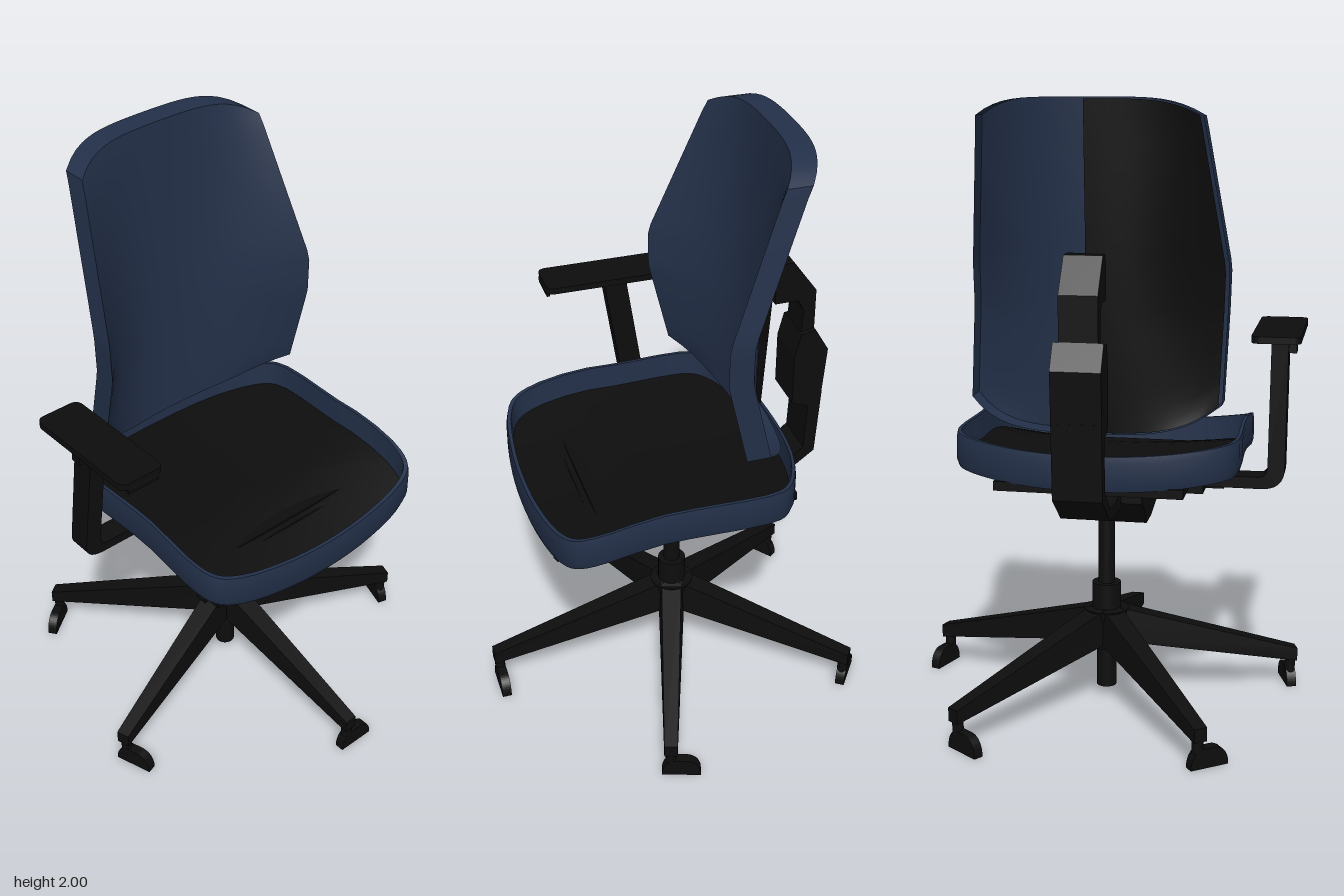
import * as THREE from 'three';
import { toCreasedNormals } from 'three/addons/utils/BufferGeometryUtils.js';

const fabric = new THREE.MeshStandardMaterial({ color: 0x233049, side: THREE.DoubleSide });
fabric.name = 'navy fabric';
const plastic = new THREE.MeshStandardMaterial({ color: 0x0d0d0d, side: THREE.DoubleSide });
plastic.name = 'black plastic';

const CX = -0.01, CZ = -0.035; // column axis

function add(parent, name, geo, mat, x = 0, y = 0, z = 0) {
  const m = new THREE.Mesh(geo, mat);
  m.name = name;
  m.position.set(x, y, z);
  parent.add(m);
  return m;
}

// Grid surface from a rule f(u, v) -> [x, y, z], with u and v in 0..1
function surface(f, nu, nv) {
  const pos = [], idx = [];
  for (let j = 0; j <= nv; j++)
    for (let i = 0; i <= nu; i++) pos.push(...f(i / nu, j / nv));
  for (let j = 0; j < nv; j++)
    for (let i = 0; i < nu; i++) {
      const a = j * (nu + 1) + i, b = a + nu + 1;
      idx.push(a, a + 1, b + 1, a, b + 1, b);
    }
  const g = new THREE.BufferGeometry();
  g.setAttribute('position', new THREE.Float32BufferAttribute(pos, 3));
  g.setIndex(idx);
  return toCreasedNormals(g, 0.6);
}

// Extrude a [z, y] side profile to a width across x
function sideExtrude(profile, width) {
  const s = new THREE.Shape(profile.map(p => new THREE.Vector2(...p)));
  const g = new THREE.ExtrudeGeometry(s, { depth: width, bevelEnabled: false });
  return g.translate(0, 0, -width / 2).rotateY(-Math.PI / 2);
}

// Linear interpolation through [key, value] pairs
function lookup(table, k) {
  for (let i = 1; i < table.length; i++) {
    const [a, va] = table[i - 1], [b, vb] = table[i];
    if (k <= b) return va + (vb - va) * Math.max(0, (k - a) / (b - a));
  }
  return table[table.length - 1][1];
}

function buildBase(root) {
  const base = new THREE.Group();
  base.name = 'starBase';
  base.position.set(CX, 0, CZ);
  root.add(base);
  const tube = (name, r0, r1, y0, y1) =>
    add(base, name, new THREE.CylinderGeometry(r1, r0, y1 - y0, 24), plastic, 0, (y0 + y1) / 2, 0);
  tube('columnFoot', 0.033, 0.033, 0.035, 0.2);
  tube('hub', 0.045, 0.075, 0.17, 0.31);
  tube('columnSleeve', 0.048, 0.048, 0.2, 0.4);
  tube('gasLift', 0.028, 0.028, 0.38, 0.68);

  // Dome-shaped foot, set crosswise at the leg tip
  const dome = new THREE.Shape();
  dome.moveTo(-0.03, 0);
  dome.lineTo(0.1, 0);
  dome.bezierCurveTo(0.1, 0.045, 0.075, 0.064, 0.05, 0.064);
  dome.lineTo(0.01, 0.064);
  dome.bezierCurveTo(-0.01, 0.062, -0.03, 0.04, -0.03, 0);

  for (let i = 0; i < 5; i++) {
    const arm = new THREE.Group();
    arm.name = 'leg' + (i + 1);
    arm.rotation.y = i * Math.PI * 2 / 5;
    base.add(arm);
    // Tapering spoke
    const g = new THREE.BoxGeometry(1, 1, 1);
    const p = g.attributes.position;
    for (let k = 0; k < p.count; k++) {
      const t = p.getZ(k) + 0.5, top = p.getY(k) > 0;
      const w = (top ? 0.07 : 0.09) * (1 - t) + 0.044 * t;
      p.setXYZ(k, p.getX(k) * w, top ? 0.315 - 0.18 * t : 0.2 - 0.11 * t, 0.04 + 0.62 * t);
    }
    g.computeVertexNormals();
    add(arm, 'spoke', g, plastic);
    add(arm, 'casterStem', new THREE.CylinderGeometry(0.018, 0.018, 0.07, 12), plastic, 0, 0.075, 0.64);
    const foot = new THREE.ExtrudeGeometry(dome, { depth: 0.032, bevelEnabled: false });
    add(arm, 'caster', foot, plastic, 0, 0, 0.624);
  }
}

function buildSeat(root) {
  const seat = new THREE.Group();
  seat.name = 'seat';
  seat.position.x = CX;
  root.add(seat);
  const half = [[0.17, -0.39], [0.3, -0.36], [0.41, -0.305], [0.45, -0.25], [0.452, 0.05],
    [0.45, 0.35], [0.42, 0.42], [0.35, 0.455], [0.18, 0.482]];
  const loop = [[0, -0.4], ...half, [0, 0.49], ...half.slice().reverse().map(([x, z]) => [-x, z])];
  const outline = new THREE.CatmullRomCurve3(loop.map(([x, z]) => new THREE.Vector3(x, 0, z)), true);
  const topY = (x, z) => 0.92 + 0.03 * (x / 0.45) ** 2 - 0.068 * (Math.max(0, z - 0.15) / 0.34) ** 1.3;

  // Raised fabric rim: outer wall, lip and inner wall
  const rows = [[0.985, -0.113], [1, -0.09], [1, -0.02], [0.993, 0], [0.968, 0], [0.96, -0.09]];
  add(seat, 'seatRim', surface((u, v) => {
    const p = outline.getPoint(u % 1), [s, dy] = rows[Math.round(v * 5)];
    return [p.x * s, topY(p.x, p.z) + dy, p.z * s];
  }, 72, 5), fabric);

  // Recessed seat surface and underside
  for (const [name, s, dy] of [['seatPanel', 0.962, -0.085], ['seatUnderside', 0.985, -0.113]])
    add(seat, name, surface((u, v) => {
      const p = outline.getPoint(u % 1).multiplyScalar(v * s);
      return [p.x, topY(p.x / s, p.z / s) + dy, p.z];
    }, 72, 10), plastic);
}

function buildMechanism(root) {
  add(root, 'tiltMechanism', sideExtrude([[0.31, 0.81], [0.31, 0.7], [0.15, 0.66], [0, 0.63],
    [-0.1, 0.63], [-0.15, 0.69], [-0.2, 0.72], [-0.2, 0.81]], 0.28), plastic, -0.015);
  add(root, 'seatPan', new THREE.BoxGeometry(0.6, 0.03, 0.66), plastic, CX, 0.805, -0.04);
  add(root, 'tiltLever', new THREE.BoxGeometry(0.22, 0.025, 0.04), plastic, -0.26, 0.675, 0.27);
  add(root, 'tiltLeverTip', new THREE.BoxGeometry(0.05, 0.015, 0.1), plastic, -0.34, 0.688, 0.3);

  // Spine carrying the backrest
  add(root, 'spineArm', sideExtrude([[-0.13, 0.78], [-0.13, 0.7], [-0.4, 0.72], [-0.52, 0.81], [-0.535, 1.05],
    [-0.49, 1.05], [-0.48, 0.83], [-0.39, 0.755], [-0.3, 0.75]], 0.155), plastic, CX);
  add(root, 'spineHousing', sideExtrude([[-0.43, 1.02], [-0.5, 0.99], [-0.53, 1.0], [-0.547, 1.21],
    [-0.5, 1.29], [-0.45, 1.28], [-0.43, 1.2]], 0.155), plastic, CX);
  add(root, 'spineTop', sideExtrude([[-0.45, 1.2], [-0.5, 1.2], [-0.5, 1.43], [-0.42, 1.54],
    [-0.36, 1.54], [-0.36, 1.4], [-0.44, 1.4], [-0.46, 1.36]], 0.12), plastic, CX);
}

function buildBackrest(root) {
  const back = new THREE.Group();
  back.name = 'backrest';
  back.position.x = CX;
  root.add(back);
  const halfWidth = [[0.98, 0.385], [1.06, 0.4], [1.48, 0.41], [1.94, 0.345], [2, 0.33]];
  const wingZ = [[1, -0.19], [1.06, -0.15], [1.35, -0.08], [1.48, -0.08], [1.92, -0.25], [2, -0.29]];
  // Curved sheet: a in -1..1 across, v in 0..1 upwards, d is the depth behind the front
  const sheet = (a, v, d) => {
    const e = Math.abs(a);
    const y0 = 0.98 + 0.08 * e ** 4, y1 = 2 - 0.055 * e ** 5;
    const y = y0 + (y1 - y0) * v;
    const zc = -0.27 - 0.065 * (y - 1);
    return [a * lookup(halfWidth, y), y, zc + (lookup(wingZ, y) - zc) * e ** 2.4 - d];
  };
  const depth = 0.08;
  add(back, 'backCushion', surface((u, v) => sheet(u * 2 - 1, v, 0), 24, 24), fabric);
  add(back, 'topEdge', surface((u, v) => sheet(u * 2 - 1, 1, v * depth), 24, 1), fabric);
  add(back, 'bottomEdge', surface((u, v) => sheet(u * 2 - 1, 0, v * depth), 24, 1), fabric);
  for (const s of [-1, 1])
    add(back, s < 0 ? 'rightEdge' : 'leftEdge', surface((u, v) => sheet(s, u, v * depth), 24, 1), fabric);
  // The rear shell covers one half only
  add(back, 'rearShell', surface((u, v) => sheet(-u * 0.975, 0.005 + v * 0.99, depth), 14, 24), plastic);
}

function buildArmrest(root) {
  const arm = new THREE.Group();
  arm.name = 'armrest';
  root.add(arm);
  // L-shaped post, leaning forward towards the top
  const s = new THREE.Shape();
  s.moveTo(-0.6, 1.245);
  s.lineTo(-0.6, 0.83);
  s.quadraticCurveTo(-0.6, 0.768, -0.53, 0.765);
  s.lineTo(-0.2, 0.765);
  s.lineTo(-0.2, 0.802);
  s.lineTo(-0.52, 0.802);
  s.quadraticCurveTo(-0.545, 0.805, -0.545, 0.84);
  s.lineTo(-0.545, 1.245);
  const g = new THREE.ExtrudeGeometry(s, { depth: 0.08, bevelEnabled: false });
  const p = g.attributes.position;
  for (let k = 0; k < p.count; k++) p.setZ(k, p.getZ(k) - 0.035 + 0.15 * (p.getY(k) - 1.245));
  add(arm, 'armPost', g, plastic);
  add(arm, 'armBracket', new THREE.BoxGeometry(0.16, 0.025, 0.1), plastic, -0.26, 0.752, -0.06);
  add(arm, 'heightButton', new THREE.BoxGeometry(0.03, 0.03, 0.04), plastic, -0.61, 1.21, 0);

  // Thin pad with a turned-down front lip
  const w = 0.0775, l = 0.215, r = 0.03;
  const pad = new THREE.Shape();
  pad.moveTo(-w + r, -l);
  pad.lineTo(w - r, -l);
  pad.quadraticCurveTo(w, -l, w, -l + r);
  pad.lineTo(w, l - r);
  pad.quadraticCurveTo(w, l, w - r, l);
  pad.lineTo(-w + r, l);
  pad.quadraticCurveTo(-w, l, -w, l - r);
  pad.lineTo(-w, -l + r);
  pad.quadraticCurveTo(-w, -l, -w + r, -l);
  const pg = new THREE.ExtrudeGeometry(pad, { depth: 0.022, bevelEnabled: false }).rotateX(Math.PI / 2);
  add(arm, 'armPad', pg, plastic, -0.5675, 1.27, 0.043);
  add(arm, 'armPadLip', sideExtrude([[0.235, 1.262], [0.256, 1.262], [0.26, 1.245], [0.257, 1.23],
    [0.247, 1.23], [0.243, 1.245]], 0.11), plastic, -0.5675);
}

export function createModel() {
  const root = new THREE.Group();
  root.name = 'officeChair';
  buildBase(root);
  buildSeat(root);
  buildMechanism(root);
  buildBackrest(root);
  buildArmrest(root);
  return root;
}
